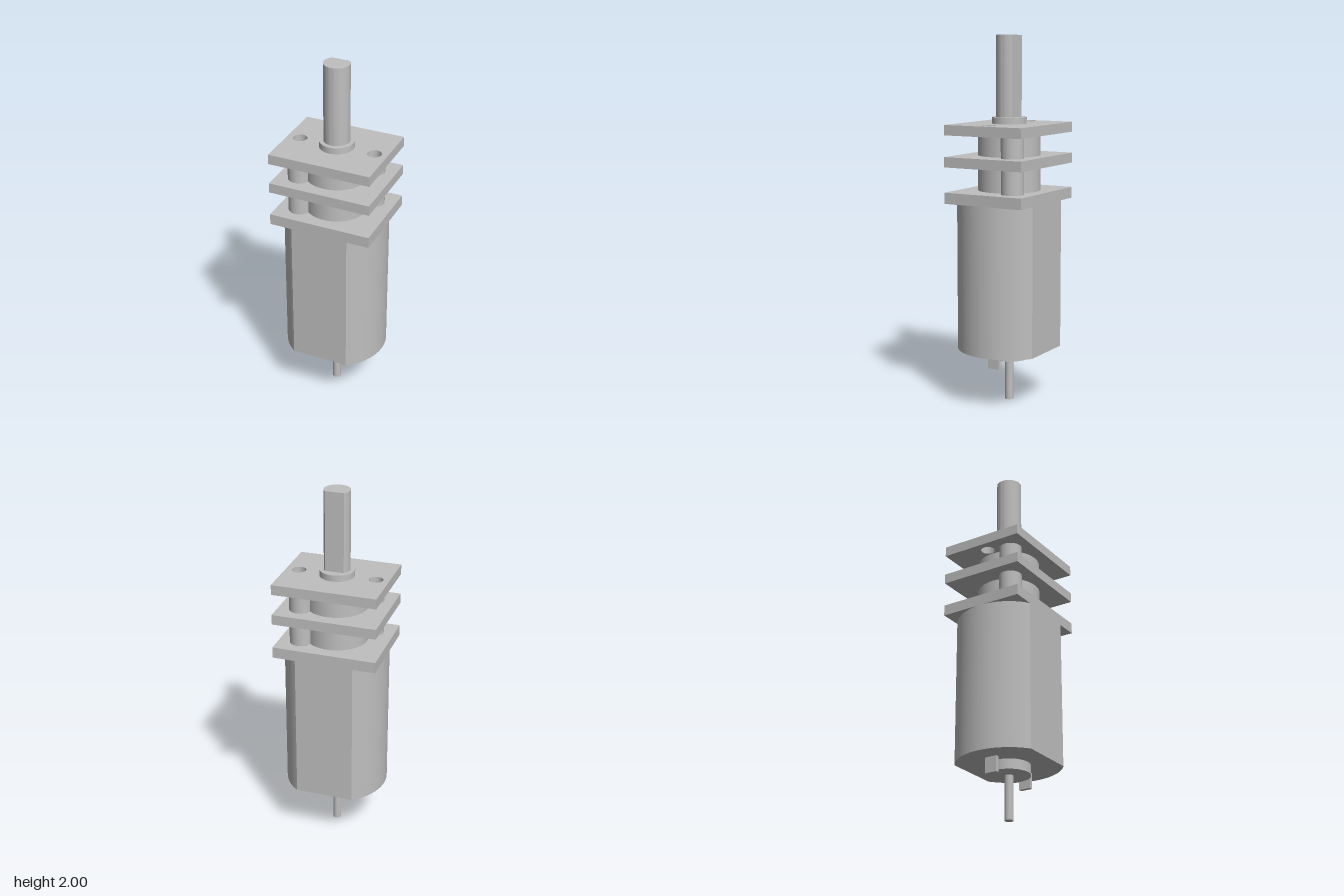
import * as THREE from 'three';
import { toCreasedNormals } from 'three/addons/utils/BufferGeometryUtils.js';

const HALF_X = 0.283, HALF_Z = 0.234;

export function createModel() {
  const model = new THREE.Group();
  model.name = 'gearMotor';
  const steel = new THREE.MeshStandardMaterial({ color: 0xbfbfbf });
  steel.name = 'grey steel';

  const add = (name, geometry, x = 0, y = 0, z = 0) => {
    const mesh = new THREE.Mesh(geometry, steel);
    mesh.name = name;
    mesh.position.set(x, y, z);
    model.add(mesh);
  };
  // upright cylinder and box given by their bottom and top heights
  const cylinder = (name, r, y0, y1, x = 0, z = 0) =>
    add(name, new THREE.CylinderGeometry(r, r, y1 - y0, 64), x, (y0 + y1) / 2, z);
  const box = (name, w, d, y0, y1, x = 0) =>
    add(name, new THREE.BoxGeometry(w, y1 - y0, d), x, (y0 + y1) / 2, 0);
  // upright prism; the shape's +y becomes the back (-z)
  const prism = (name, shape, y0, y1) => {
    const geometry = new THREE.ExtrudeGeometry(shape, { depth: y1 - y0, bevelEnabled: false, curveSegments: 40 });
    add(name, toCreasedNormals(geometry.rotateX(-Math.PI / 2), 0.4), 0, y0, 0);
  };

  // motor can: round sides, flat front and back
  const a = Math.asin(HALF_Z / HALF_X);
  const can = new THREE.Shape();
  can.absarc(0, 0, HALF_X, -a, a, false);
  can.absarc(0, 0, HALF_X, Math.PI - a, Math.PI + a, false);
  can.closePath();
  prism('motorCan', can, 0.295, 1.11);

  // rear bearing, rear shaft and terminals
  cylinder('rearBearing', 0.115, 0.24, 0.295);
  cylinder('rearShaft', 0.023, 0, 0.24);
  for (const side of [-1, 1]) box('terminal', 0.022, 0.068, 0.21, 0.295, side * 0.162);

  // gearbox plates, the top one with two mounting holes
  box('lowerPlate', HALF_X * 2, HALF_Z * 2, 1.11, 1.17);
  box('middlePlate', HALF_X * 2, HALF_Z * 2, 1.305, 1.36);
  const plate = new THREE.Shape([
    new THREE.Vector2(-HALF_X, -HALF_Z), new THREE.Vector2(HALF_X, -HALF_Z),
    new THREE.Vector2(HALF_X, HALF_Z), new THREE.Vector2(-HALF_X, HALF_Z),
  ]);
  for (const side of [-1, 1]) {
    plate.holes.push(new THREE.Path().absarc(side * 0.212, 0, 0.038, 0, Math.PI * 2, true));
  }
  prism('topPlate', plate, 1.475, 1.53);

  // gears and diagonal spacer posts between the plates
  for (const [y0, y1] of [[1.17, 1.305], [1.36, 1.475]]) {
    cylinder('gear', 0.169, y0, y1);
    for (const side of [-1, 1]) cylinder('spacerPost', 0.061, y0, y1, side * 0.164, -side * 0.115);
  }

  // output bearing and D-shaped shaft, flat towards the back
  cylinder('outputBearing', 0.094, 1.53, 1.565);
  const b = Math.asin(0.048 / 0.07);
  const dShape = new THREE.Shape();
  dShape.absarc(0, 0, 0.07, Math.PI - b, Math.PI * 2 + b, false);
  dShape.closePath();
  prism('outputShaft', dShape, 1.565, 2);

  return model;
}
